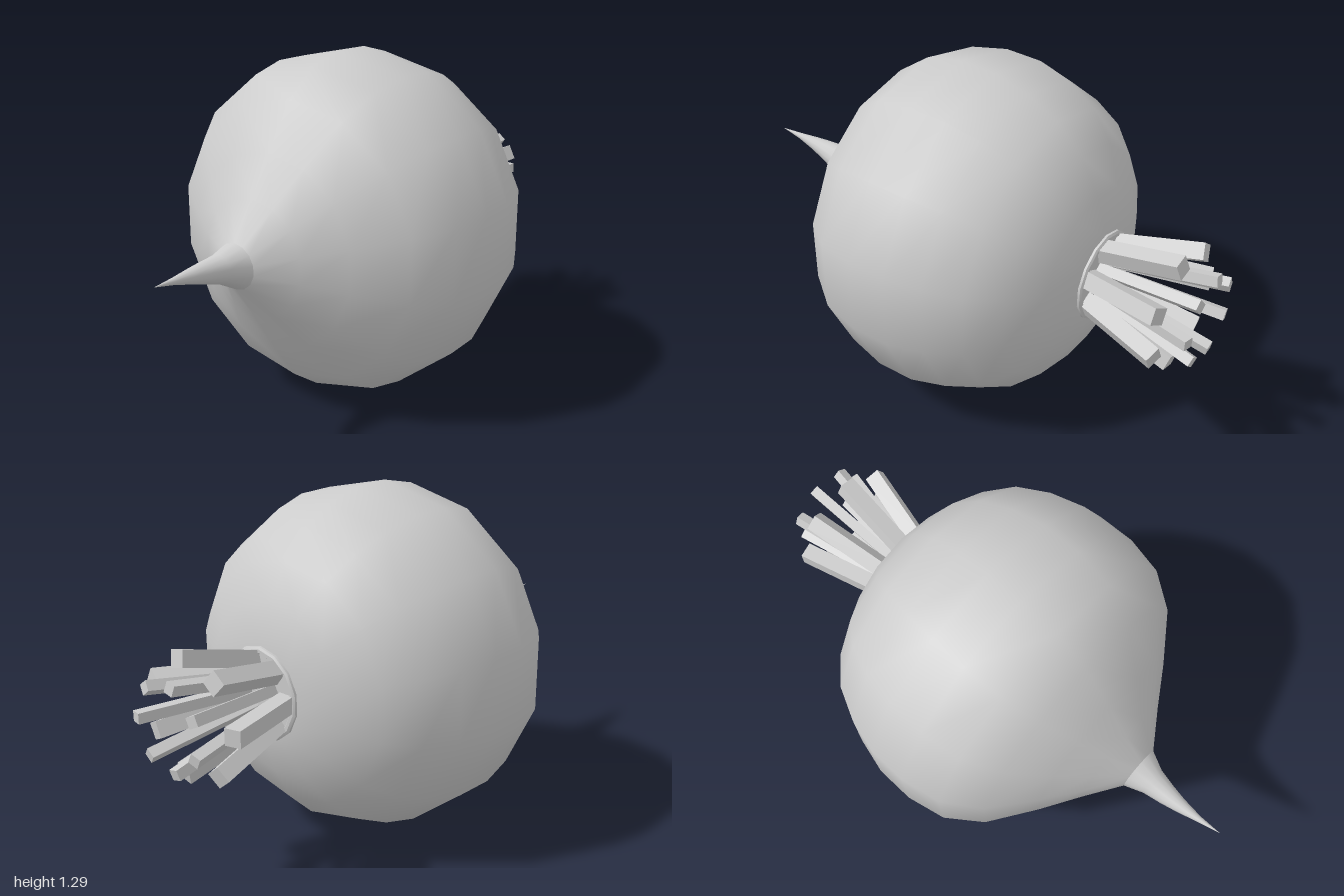
import * as THREE from 'three';
import { toCreasedNormals } from 'three/addons/utils/BufferGeometryUtils.js';

const SIDES = 14;
const AXIS_Y = 0.648;
const material = new THREE.MeshStandardMaterial({ color: 0xcccccc });

// Revolves [x, radius] pairs around the x axis, with a corner at the very top
function revolve(profile) {
  const points = profile.map(([x, r]) => new THREE.Vector2(r, x));
  return new THREE.LatheGeometry(points, SIDES, Math.PI / 2).rotateZ(-Math.PI / 2);
}

function addMesh(parent, name, geometry) {
  const mesh = new THREE.Mesh(geometry, material);
  mesh.name = name;
  parent.add(mesh);
  return mesh;
}

// Ring of square stalks that fan outwards from the crown
function stalkRing(name, { start, radius, tilt, length, size, offset }) {
  const ring = new THREE.Group();
  ring.name = name;
  const count = 7;
  for (let i = 0; i < count; i++) {
    const geometry = new THREE.BoxGeometry(length, size, size);
    geometry.translate(length / 2, 0, 0);
    geometry.rotateZ(tilt);
    geometry.translate(start, radius, 0);
    geometry.rotateX(offset + (i / count) * Math.PI * 2);
    addMesh(ring, name + 'Stalk', geometry);
  }
  return ring;
}

export function createModel() {
  const model = new THREE.Group();
  model.name = 'turnip';
  const plant = new THREE.Group();
  plant.name = 'plant';
  plant.position.y = AXIS_Y;
  model.add(plant);

  // Round bulb, drawn out towards the root
  addMesh(plant, 'bulb', revolve([
    [-0.63, 0.083], [-0.54, 0.215], [-0.45, 0.355], [-0.33, 0.522],
    [-0.2, 0.613], [-0.05, 0.645], [0.1, 0.642], [0.235, 0.605],
    [0.36, 0.542], [0.46, 0.445], [0.535, 0.31], [0.58, 0.165], [0.58, 0],
  ]));

  // Thin root tail, curving up to its tip
  const root = revolve([
    [-1, 0], [-0.91, 0.012], [-0.83, 0.027], [-0.77, 0.039],
    [-0.7, 0.053], [-0.63, 0.083],
  ]);
  const p = root.attributes.position;
  for (let i = 0; i < p.count; i++) {
    const t = (-0.63 - p.getX(i)) / 0.37;
    p.setY(i, p.getY(i) + 0.045 * t);
    p.setZ(i, p.getZ(i) - 0.012 * Math.sin(Math.PI * t));
  }
  addMesh(plant, 'root', root);

  // Crown collar with a slight rim
  const collar = revolve([
    [0.56, 0.17], [0.587, 0.17], [0.592, 0.162], [0.592, 0.15],
    [0.586, 0.145], [0.586, 0],
  ]);
  addMesh(plant, 'collar', toCreasedNormals(collar, 0.5));

  // Cut stalks: thick outer ring, slimmer and longer inner ring
  plant.add(stalkRing('outer', {
    start: 0.575, radius: 0.121, tilt: 0.262, length: 0.334, size: 0.06, offset: -Math.PI / 2,
  }));
  plant.add(stalkRing('inner', {
    start: 0.575, radius: 0.064, tilt: 0.205, length: 0.43, size: 0.038, offset: Math.PI / 2,
  }));
  return model;
}
